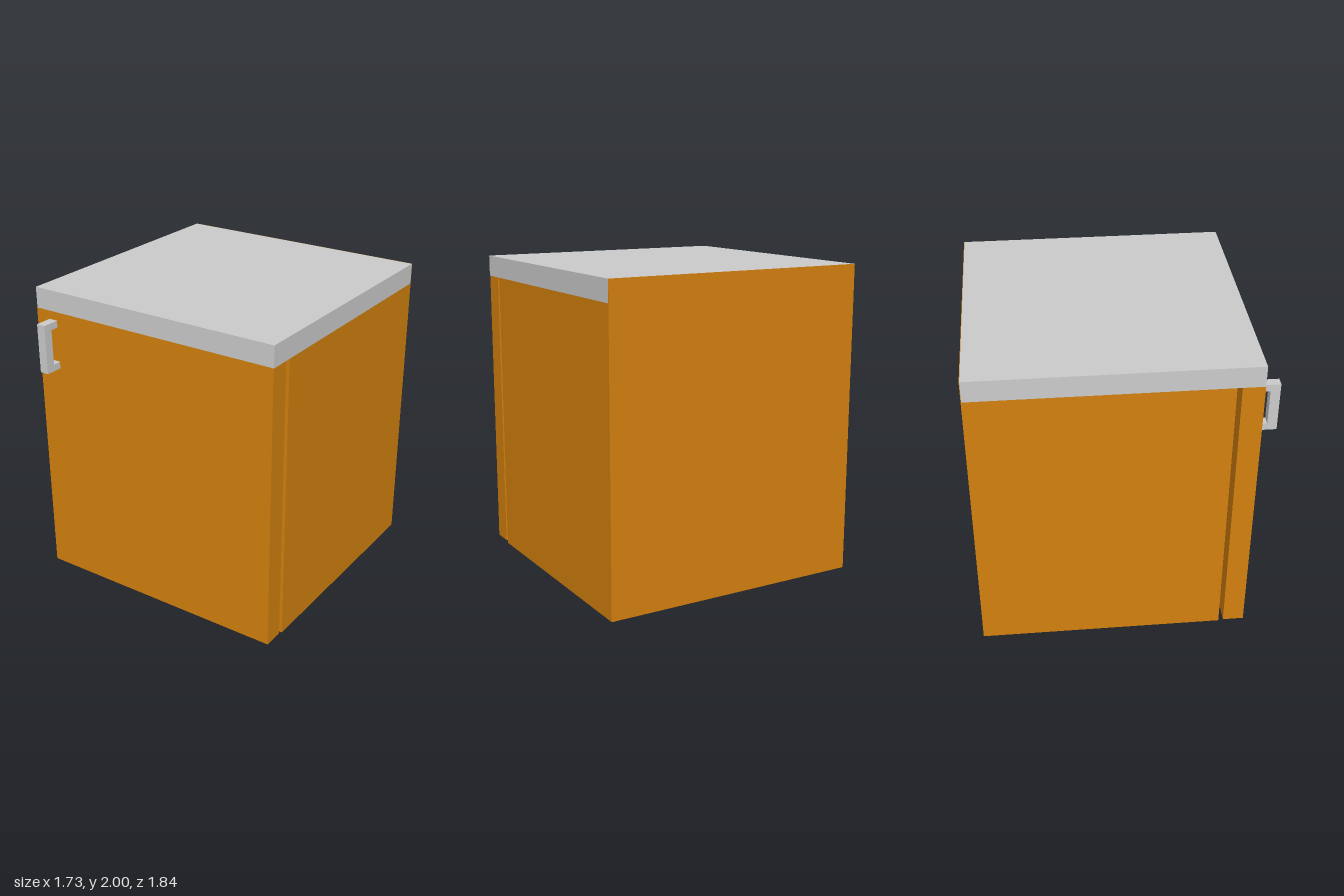
import * as THREE from 'three';

const wood = new THREE.MeshStandardMaterial({ color: 0xd3810e });
const grey = new THREE.MeshStandardMaterial({ color: 0xcccccc });

// Box given by its lower and upper limits on each axis
function slab(name, material, [x0, x1], [y0, y1], [z0, z1]) {
  const mesh = new THREE.Mesh(new THREE.BoxGeometry(x1 - x0, y1 - y0, z1 - z0), material);
  mesh.name = name;
  mesh.position.set((x0 + x1) / 2, (y0 + y1) / 2, (z0 + z1) / 2);
  return mesh;
}

export function createModel() {
  const W = 0.865, BACK = -0.92, FRONT = 0.805, TOP = 2, UNDER = 1.865;
  const bodyFront = 0.64, wall = 0.13, skin = 0.003;
  const inner = [-W + wall, W - wall];
  const model = new THREE.Group();
  model.name = 'cabinet';

  // Worktop, overhanging the door
  model.add(slab('worktop', grey, [-W, W], [UNDER, TOP], [BACK + skin, FRONT]));

  // Open-fronted carcass; the back panel also covers the worktop's rear edge
  const carcass = new THREE.Group();
  carcass.name = 'carcass';
  carcass.add(
    slab('backPanel', wood, [-W, W], [0, TOP], [BACK, BACK + skin]),
    slab('rightSide', wood, [-W, -W + wall], [0, UNDER], [BACK + skin, bodyFront]),
    slab('leftSide', wood, [W - wall, W], [0, UNDER], [BACK + skin, bodyFront]),
    slab('bottomPanel', wood, inner, [0, wall], [BACK + skin, bodyFront]),
    slab('shelf', wood, inner, [0.9, 1.0], [BACK + skin, bodyFront]),
  );
  model.add(carcass);

  // Door, set off from the carcass by a narrow gap
  const door = new THREE.Group();
  door.name = 'door';
  door.add(slab('doorPanel', wood, [-W - skin, W - skin], [0.01, UNDER], [0.67, FRONT]));

  // Bracket handle: side profile extruded across its width
  const profile = new THREE.Shape([
    [0.805, 1.49], [0.92, 1.49], [0.92, 1.81], [0.805, 1.81],
    [0.805, 1.765], [0.86, 1.765], [0.86, 1.535], [0.805, 1.535],
  ].map(([z, y]) => new THREE.Vector2(z, y)));
  const handle = new THREE.Mesh(
    new THREE.ExtrudeGeometry(profile, { depth: 0.06, bevelEnabled: false }), grey);
  handle.name = 'handle';
  handle.rotation.y = -Math.PI / 2;
  handle.position.x = -0.708;
  door.add(handle);
  model.add(door);

  return model;
}
